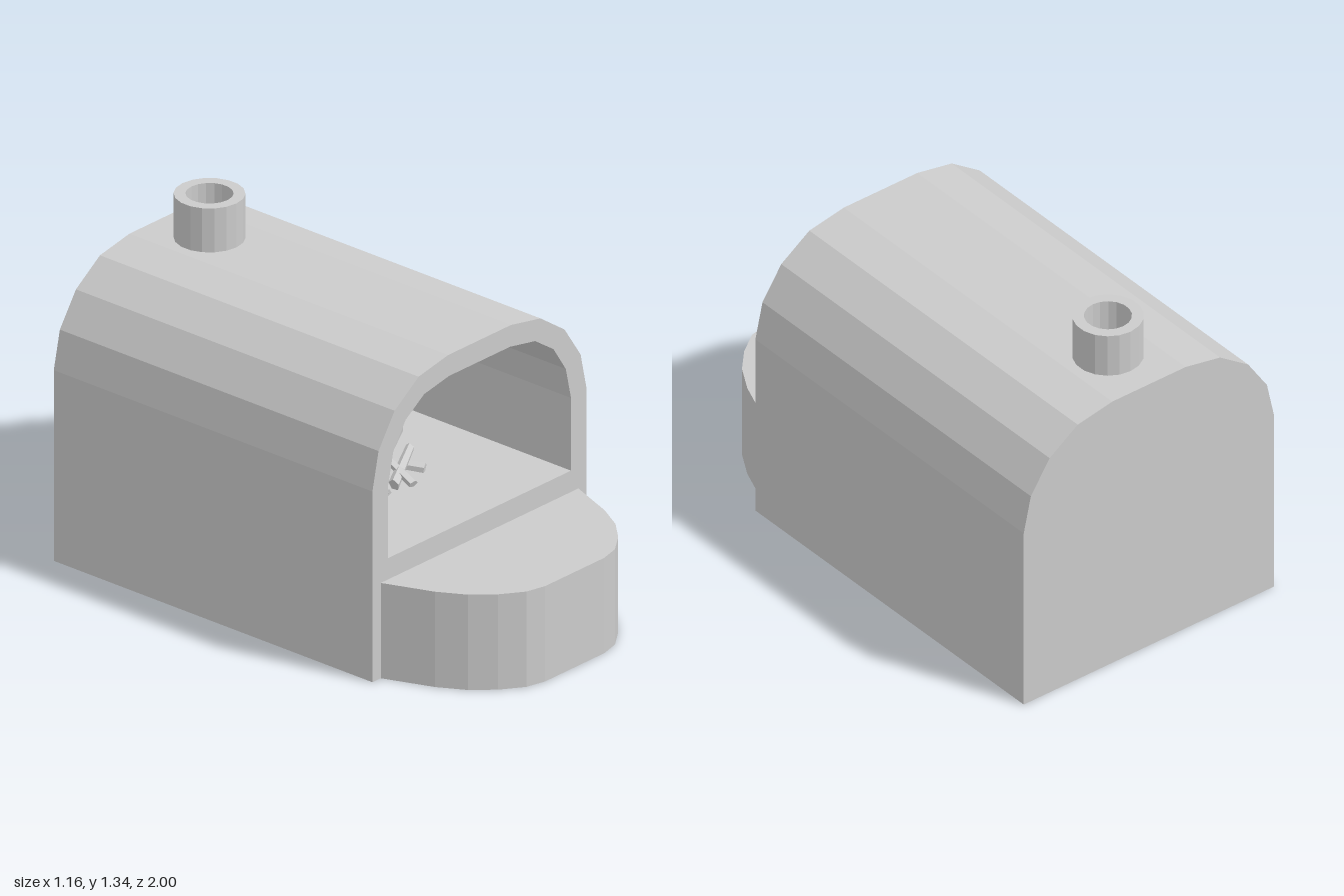
import * as THREE from 'three';

const material = new THREE.MeshStandardMaterial({ color: 0xcccccc, flatShading: true });

// Closed outline from its right half, mirrored across x = 0
function mirrored(half, Type = THREE.Shape) {
  const left = half.map(([x, y]) => [-x, y]).reverse();
  return new Type([...half, ...left].map(([x, y]) => new THREE.Vector2(x, y)));
}

function extrude(shape, depth) {
  return new THREE.ExtrudeGeometry(shape, { depth, bevelEnabled: false });
}

function addMesh(parent, name, geometry) {
  const mesh = new THREE.Mesh(geometry, material);
  mesh.name = name;
  parent.add(mesh);
  return mesh;
}

// Split log between two points: a tapered, slightly flattened five-sided prism
function addLog(parent, from, to, radius, twist) {
  const a = new THREE.Vector3(...from), b = new THREE.Vector3(...to);
  const dir = b.clone().sub(a);
  const geometry = new THREE.CylinderGeometry(radius * 0.75, radius, dir.length(), 5);
  geometry.rotateY(twist);
  geometry.scale(1, 1, 0.7);
  const log = addMesh(parent, 'log', geometry);
  log.position.copy(a).add(b).multiplyScalar(0.5);
  log.quaternion.setFromUnitVectors(new THREE.Vector3(0, 1, 0), dir.normalize());
}

export function createModel() {
  const oven = new THREE.Group();
  oven.name = 'oven';

  const front = 0.54, back = -1, innerBack = -0.91;
  const outer = [[0.58, 0], [0.58, 0.76], [0.547, 0.91], [0.46, 1.04], [0.33, 1.13], [0.17, 1.16]];
  const inner = [[0.495, 0.465], [0.495, 0.755], [0.467, 0.88], [0.4, 0.983], [0.3, 1.05], [0.165, 1.075]];

  // Vaulted shell with the chamber cut through, closed by a back wall
  const arch = mirrored(outer);
  arch.holes.push(mirrored(inner, THREE.Path));
  addMesh(oven, 'vault', extrude(arch, front - innerBack)).position.z = innerBack;
  addMesh(oven, 'backWall', extrude(mirrored(outer), innerBack - back)).position.z = back;

  // Rounded hearth step in front
  const step = mirrored([[0.535, front], [0.46, 0.735], [0.4, 0.84], [0.325, 0.92], [0.24, 0.98], [0.16, 1]]);
  const stepGeometry = extrude(step, 0.38);
  stepGeometry.rotateX(Math.PI / 2);
  addMesh(oven, 'hearthStep', stepGeometry).position.y = 0.38;

  // Hollow chimney
  const pipe = [[0.13, 1.14], [0.13, 1.335], [0.087, 1.335], [0.087, 1.14]];
  const chimney = new THREE.LatheGeometry(pipe.map(([r, y]) => new THREE.Vector2(r, y)), 18);
  addMesh(oven, 'chimney', chimney).position.z = -0.765;

  // Heap of firewood on the chamber floor
  const firewood = new THREE.Group();
  firewood.name = 'firewood';
  oven.add(firewood);
  const logs = [
    [[-0.08, 0.5, 0.1], [0.15, 0.595, 0.02], 0.026],
    [[-0.24, 0.49, 0.08], [-0.07, 0.56, -0.02], 0.026],
    [[-0.2, 0.5, 0.15], [-0.09, 0.6, 0.04], 0.02],
    [[-0.06, 0.49, 0.18], [0.14, 0.54, 0.08], 0.026],
    [[-0.14, 0.49, 0.2], [-0.04, 0.59, 0.02], 0.022],
    [[0.13, 0.485, 0.16], [0.01, 0.5, -0.08], 0.022],
    [[-0.12, 0.485, 0.2], [-0.08, 0.5, -0.06], 0.022],
    [[-0.2, 0.49, -0.08], [0.03, 0.58, 0.02], 0.024],
    [[0.12, 0.49, -0.1], [-0.04, 0.59, 0.03], 0.024],
    [[0.02, 0.485, -0.14], [-0.02, 0.58, 0.05], 0.022],
    [[0, 0.485, 0.22], [0.02, 0.56, 0.03], 0.022],
    [[-0.16, 0.49, -0.12], [-0.06, 0.585, 0.03], 0.022],
  ];
  logs.forEach(([from, to, radius], i) => addLog(firewood, from, to, radius, i * 0.9));

  return oven;
}
